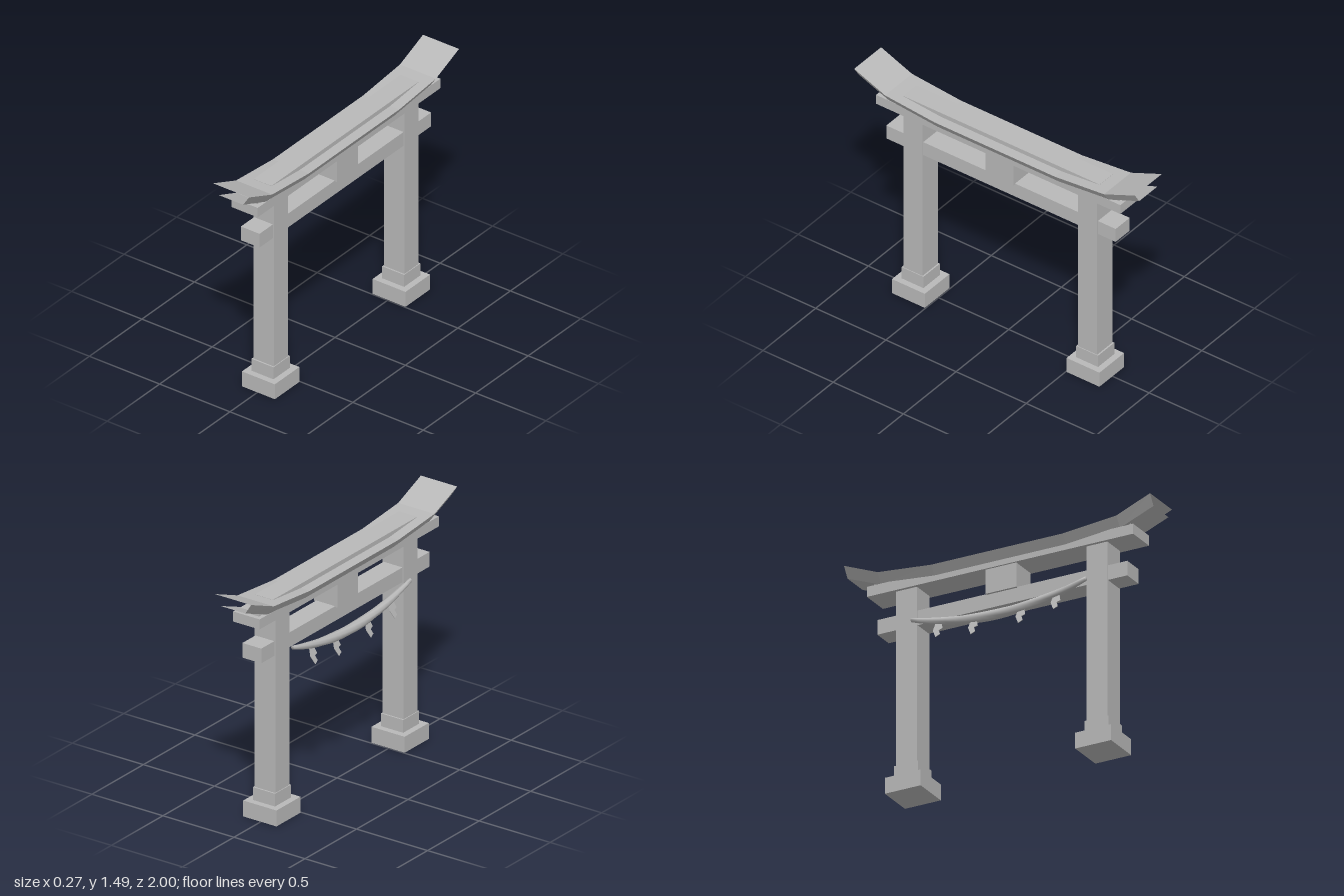
import * as THREE from 'three';

const stone = new THREE.MeshStandardMaterial({ color: 0xb8b8b8 });
stone.name = 'grey stone';
const CX = 0.007; // depth centre of the frame; the rope hangs on the -x side

// Box given by depth (x), height range (y) and length range (z)
function block(name, depth, y0, y1, z0, z1) {
  const m = new THREE.Mesh(new THREE.BoxGeometry(depth, y1 - y0, z1 - z0), stone);
  m.position.set(CX, (y0 + y1) / 2, (z0 + z1) / 2);
  m.name = name;
  return m;
}

// Strip of quads between two rails of points, optionally visible from both sides
function strip(name, a, b, bothSides) {
  const pos = [];
  for (let i = 0; i < a.length - 1; i++) {
    const p = a[i], q = a[i + 1], r = b[i + 1], s = b[i];
    pos.push(...p, ...q, ...r, ...p, ...r, ...s);
    if (bothSides) pos.push(...p, ...r, ...q, ...p, ...s, ...r);
  }
  const g = new THREE.BufferGeometry();
  g.setAttribute('position', new THREE.Float32BufferAttribute(pos, 3));
  g.computeVertexNormals();
  const m = new THREE.Mesh(g, stone);
  m.name = name;
  return m;
}

// Upswept roof beam: wide top, narrower underside, sloping sides, open ends
function makeRoof() {
  const roof = new THREE.Group();
  roof.name = 'roofBeam';
  const profile = [
    [-1, 1.488, 1.424], [-0.78, 1.398, 1.336], [-0.43, 1.365, 1.302],
    [0.43, 1.365, 1.302], [0.78, 1.398, 1.336], [1, 1.488, 1.424],
  ];
  const top = (x) => profile.map(([z, t]) => [CX + x, t, z]);
  const bottom = (x) => profile.map(([z, , b]) => [CX + x, b, z]);
  const W = 0.128, N = 0.087;
  roof.add(
    strip('roofTop', top(-W), top(W), true),
    strip('roofUnderside', bottom(N), bottom(-N), true),
    strip('roofLeftSide', top(W), bottom(N), false),
    strip('roofRightSide', bottom(-N), top(-W), false),
  );
  return roof;
}

const ropeY = (z) => 0.966 + 0.09 * (z / 0.57) ** 2;
const ROPE_X = -0.102;

// Sagging rope, thicker in the middle, with a twisted surface
function makeRope() {
  const rows = 24, sides = 8, pos = [], idx = [];
  for (let i = 0; i <= rows; i++) {
    const u = (i / rows) * 2 - 1, z = u * 0.57;
    const r = 0.013 + 0.017 * (1 - u * u);
    for (let j = 0; j < sides; j++) {
      const a = (j / sides) * Math.PI * 2 + i * 0.12;
      pos.push(ROPE_X + r * Math.cos(a), ropeY(z) + r * Math.sin(a), z);
      if (i < rows) {
        const k = i * sides, n = (j + 1) % sides;
        idx.push(k + j, k + n, k + sides + n, k + j, k + sides + n, k + sides + j);
      }
    }
  }
  // End caps
  for (let j = 1; j < sides - 1; j++) {
    const e = rows * sides;
    idx.push(0, j + 1, j, e, e + j, e + j + 1);
  }
  const g = new THREE.BufferGeometry();
  g.setAttribute('position', new THREE.Float32BufferAttribute(pos, 3));
  g.setIndex(idx);
  g.computeVertexNormals();
  const m = new THREE.Mesh(g, stone);
  m.name = 'rope';
  return m;
}

// Folded zigzag paper hanging from the rope
function makeStreamer(z) {
  const outline = [[-0.01, 0], [-0.027, -0.06], [-0.004, -0.068], [-0.017, -0.1],
    [0.01, -0.115], [0.035, -0.062], [0.024, 0]];
  const shape = new THREE.Shape(outline.map(([x, y]) => new THREE.Vector2(x, y)));
  const g = new THREE.ExtrudeGeometry(shape, { depth: 0.004, bevelEnabled: false });
  g.rotateY(Math.PI / 2);
  g.rotateZ(-0.3);
  const m = new THREE.Mesh(g, stone);
  m.position.set(ROPE_X, ropeY(z), z);
  m.name = 'paperStreamer';
  return m;
}

export function createModel() {
  const gate = new THREE.Group();
  gate.name = 'gate';

  // Two posts on stepped footings
  for (const s of [-1, 1]) {
    const z = s * 0.622;
    const post = new THREE.Group();
    post.name = s > 0 ? 'frontPost' : 'backPost';
    post.add(
      block('footing', 0.234, 0, 0.1, z - 0.117, z + 0.117),
      block('collar', 0.156, 0.1, 0.18, z - 0.078, z + 0.078),
      block('shaft', 0.146, 0.18, 1.28, z - 0.068, z + 0.068),
    );
    gate.add(post);
  }

  // Cross beams and centre strut
  gate.add(
    block('tieBeam', 0.133, 1.038, 1.13, -0.817, 0.817),
    block('centreStrut', 0.163, 1.125, 1.28, -0.1, 0.1),
    block('lintel', 0.186, 1.277, 1.34, -0.87, 0.87),
    block('lintelCap', 0.133, 1.34, 1.358, -0.84, 0.84),
    block('ridge', 0.127, 1.345, 1.392, -0.7, 0.7),
    makeRoof(),
  );

  // Rope with paper streamers
  gate.add(makeRope());
  for (const z of [-0.385, -0.155, 0.155, 0.385]) gate.add(makeStreamer(z));

  return gate;
}
